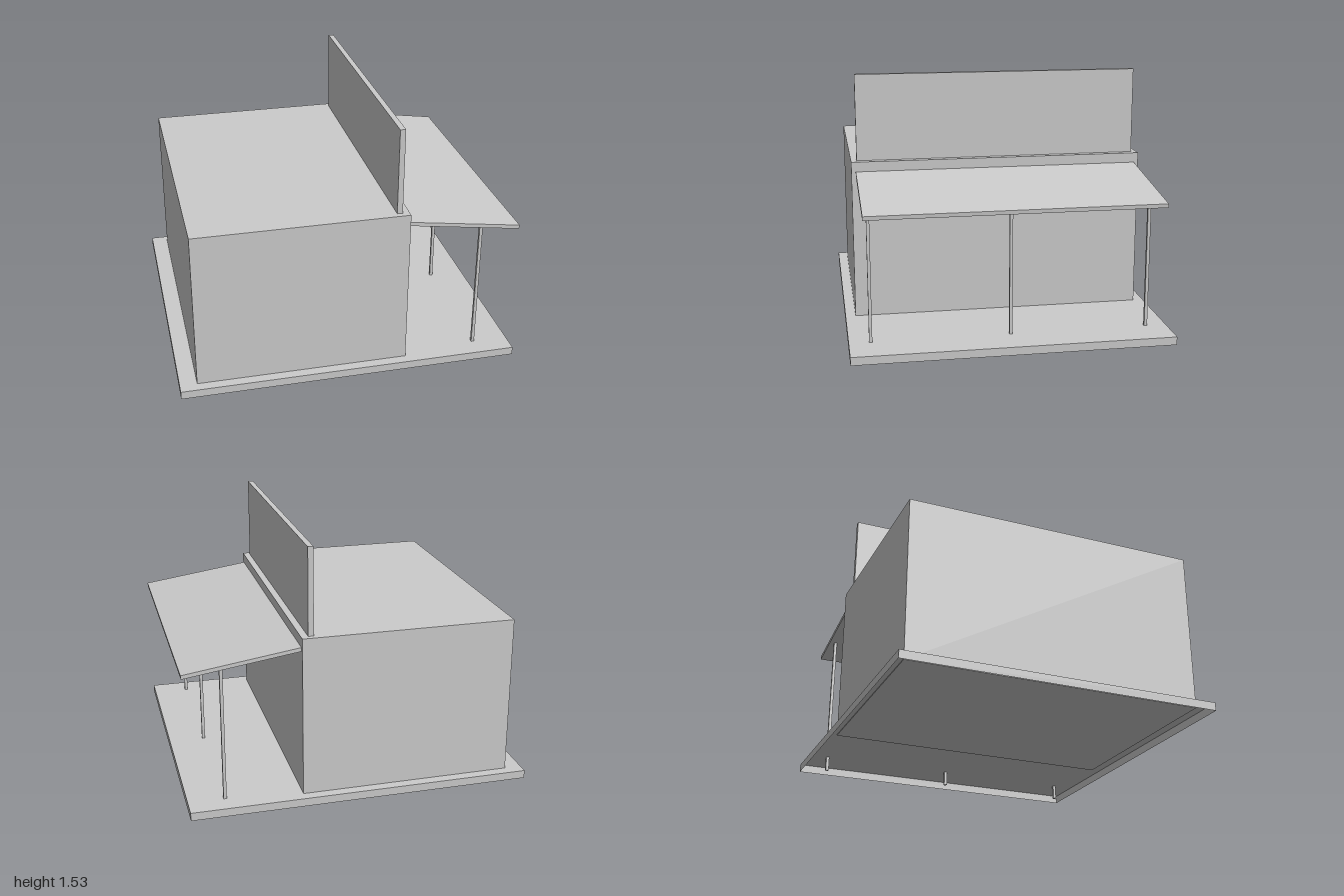
import * as THREE from 'three';

const material = new THREE.MeshStandardMaterial({ color: 0xcccccc, flatShading: true, side: THREE.DoubleSide });

// Box given by its limits on each axis
function box(name, [x0, x1], [y0, y1], [z0, z1]) {
  const geometry = new THREE.BoxGeometry(x1 - x0, y1 - y0, z1 - z0);
  geometry.translate((x0 + x1) / 2, (y0 + y1) / 2, (z0 + z1) / 2);
  const mesh = new THREE.Mesh(geometry, material);
  mesh.name = name;
  return mesh;
}

export function createModel() {
  const group = new THREE.Group();
  group.name = 'shopWithPorch';

  // Floor slab: a shallow tray, open underneath
  const slab = box('floorSlab', [-1, 0.99], [0.037, 0.085], [-0.923, 0.923]);
  const index = Array.from(slab.geometry.index.array);
  index.splice(18, 6); // drop the bottom face
  slab.geometry.setIndex(index);
  slab.geometry.clearGroups();
  group.add(slab);

  // Main building and the tall false-front board on its roof
  group.add(box('building', [-0.9, 0.337], [0.08, 1.025], [-0.863, 0.863]));
  group.add(box('roofBoard', [0.265, 0.297], [1.025, 1.53], [-0.83, 0.83]));

  // Sloping porch roof
  const profile = new THREE.Shape([
    new THREE.Vector2(0.337, 0.944),
    new THREE.Vector2(0.998, 0.848),
    new THREE.Vector2(1, 0.871),
    new THREE.Vector2(0.337, 0.967),
  ]);
  const roof = new THREE.ExtrudeGeometry(profile, { depth: 1.676, bevelEnabled: false });
  roof.translate(0, 0, -0.838);
  const porchRoof = new THREE.Mesh(roof, material);
  porchRoof.name = 'porchRoof';
  group.add(porchRoof);

  // Porch posts, running through the slab to the ground
  for (const z of [-0.8, 0, 0.8]) {
    group.add(box('porchPost', [0.769, 0.787], [0, 0.884], [z - 0.009, z + 0.009]));
  }
  return group;
}
